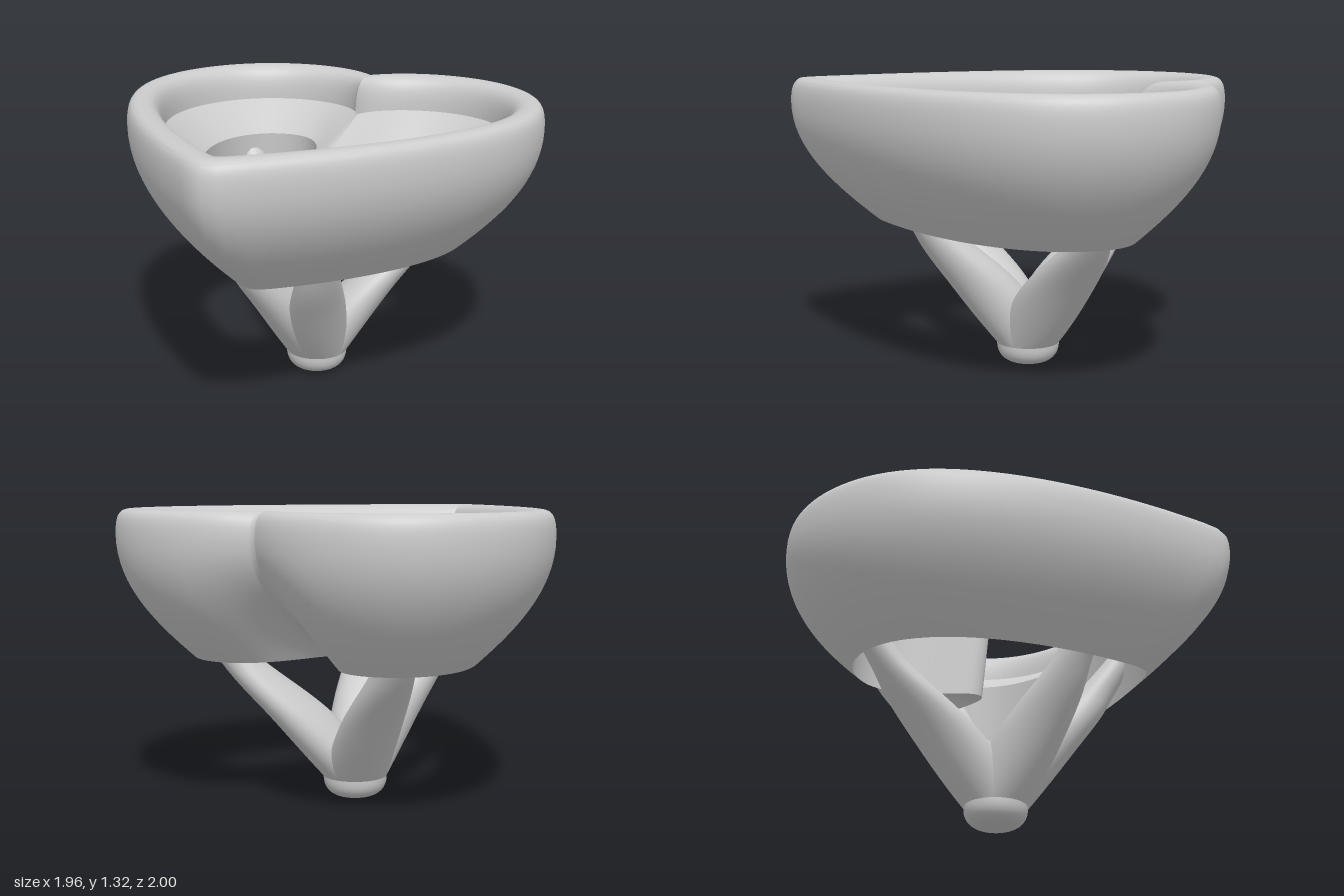
import * as THREE from 'three';
import { toCreasedNormals } from 'three/addons/utils/BufferGeometryUtils.js';

const material = new THREE.MeshStandardMaterial({ color: 0xcccccc });

// Skin a list of closed rings (arrays of Vector3), creasing the sharp edges
function loft(rings, crease) {
  const n = rings[0].length, index = [];
  for (let r = 0; r < rings.length - 1; r++) {
    for (let i = 0; i < n; i++) {
      const j = (i + 1) % n;
      const a = r * n + i, b = r * n + j, c = a + n, d = b + n;
      index.push(a, c, b, b, c, d);
    }
  }
  const geometry = new THREE.BufferGeometry().setFromPoints(rings.flat());
  geometry.setIndex(index);
  return toCreasedNormals(geometry, crease);
}

function addMesh(parent, geometry, name) {
  const mesh = new THREE.Mesh(geometry, material);
  mesh.name = name;
  parent.add(mesh);
}

// Points along joined cubic curves, each given as two controls and an end
function curvePoints(start, curves, steps) {
  let p = new THREE.Vector2(...start);
  const points = [];
  for (const [ax, ay, bx, by, cx, cy] of curves) {
    const end = new THREE.Vector2(cx, cy);
    const curve = new THREE.CubicBezierCurve(p, new THREE.Vector2(ax, ay), new THREE.Vector2(bx, by), end);
    points.push(...curve.getPoints(steps).slice(0, -1));
    p = end;
  }
  return [...points, p];
}

// Heart outline in (x, z): rear notch to front tip, mirrored, with corners softened by averaging
function heart(start, curves, softness) {
  const half = curvePoints(start, curves, 24);
  let ring = half.concat(half.slice(1, -1).reverse().map(v => new THREE.Vector2(-v.x, v.y)));
  for (let pass = 0; pass < softness; pass++) {
    const n = ring.length;
    ring = ring.map((p, i) => ring[(i + n - 1) % n].clone().add(ring[(i + 1) % n])
      .multiplyScalar(0.25).addScaledVector(p, 0.5));
  }
  return ring;
}

function heartBezel() {
  const outlines = [
    // lower outside edge
    heart([0, -0.21], [[0.1, -0.21, 0.1, -0.665, 0.36, -0.665],
      [0.55, -0.665, 0.65, -0.5, 0.65, -0.33], [0.65, 0, 0.3, 0.39, 0, 0.6]], 2),
    // widest outside line
    heart([0, -0.885], [[0.07, -0.93, 0.18, -1, 0.36, -1],
      [0.72, -1, 0.984, -0.7, 0.984, -0.33], [0.984, 0.15, 0.45, 0.69, 0, 1.03]], 2),
    // inside of the rim
    heart([0, -0.62], [[0.02, -0.72, 0.15, -0.84, 0.36, -0.84],
      [0.62, -0.84, 0.82, -0.62, 0.82, -0.33], [0.82, 0.05, 0.38, 0.52, 0, 0.81]], 0),
    // opening
    heart([0, -0.18], [[0.1, -0.18, 0.1, -0.645, 0.36, -0.645],
      [0.52, -0.645, 0.62, -0.5, 0.62, -0.33], [0.62, 0, 0.3, 0.36, 0, 0.55]], 0),
  ];
  // s blends from one outline to the next
  const ring = (s, y) => {
    const k = Math.min(Math.floor(s), 2);
    return outlines[k].map((p, i) => {
      const q = p.clone().lerp(outlines[k + 1][i], s - k);
      return new THREE.Vector3(q.x, y, q.y);
    });
  };
  // Bulging outside and rounded rim
  const profile = curvePoints([0, 0.66], [[0.5, 0.81, 1, 0.98, 1, 1.2],
    [1, 1.29, 1.12, 1.315, 1.4, 1.315], [1.8, 1.315, 2, 1.28, 2, 1.15]], 16);
  const rings = profile.map(p => ring(p.x, p.y));
  // Sloping seat and opening wall down to the thin lower edge
  rings.push(ring(3, 1.01), ring(0, 0.66));
  return loft(rings, 0.65);
}

// Tapering leg from the base to (x, z) at the underside, running on into the wall
function legGeometry(x, z) {
  const path = new THREE.CatmullRomCurve3([
    [0, 0.1, 0.145], [0.45, 0.38, 0.128], [1, 0.66, 0.09], [1.5, 1, 0.045],
  ].map(p => new THREE.Vector3(...p)));
  const rings = path.getPoints(20).map(({ x: t, y, z: r }) => {
    const depth = r + 0.14 * Math.max(0, t * (1 - t));
    return Array.from({ length: 40 }, (_, i) => {
      const a = i / 40 * Math.PI * 2;
      return new THREE.Vector3(x * t + r * Math.cos(a), y, -0.135 + (z + 0.135) * t + depth * Math.sin(a));
    });
  });
  return loft(rings, 0.8);
}

export function createModel() {
  const model = new THREE.Group();
  model.name = 'heartSetting';

  addMesh(model, heartBezel(), 'heartBezel');

  const legs = new THREE.Group();
  legs.name = 'legs';
  for (const side of [1, -1]) {
    const label = side > 0 ? 'Left' : 'Right';
    addMesh(legs, legGeometry(side * 0.18, 0.28), 'front' + label + 'Leg');
    addMesh(legs, legGeometry(side * 0.405, -0.475), 'back' + label + 'Leg');
  }
  model.add(legs);

  // Rounded foot where the legs meet
  const foot = curvePoints([0, 0], [[0.09, 0, 0.145, 0.02, 0.145, 0.1]], 16);
  const footGeometry = new THREE.LatheGeometry(foot, 40);
  footGeometry.translate(0, 0, -0.135);
  addMesh(model, footGeometry, 'foot');

  return model;
}
